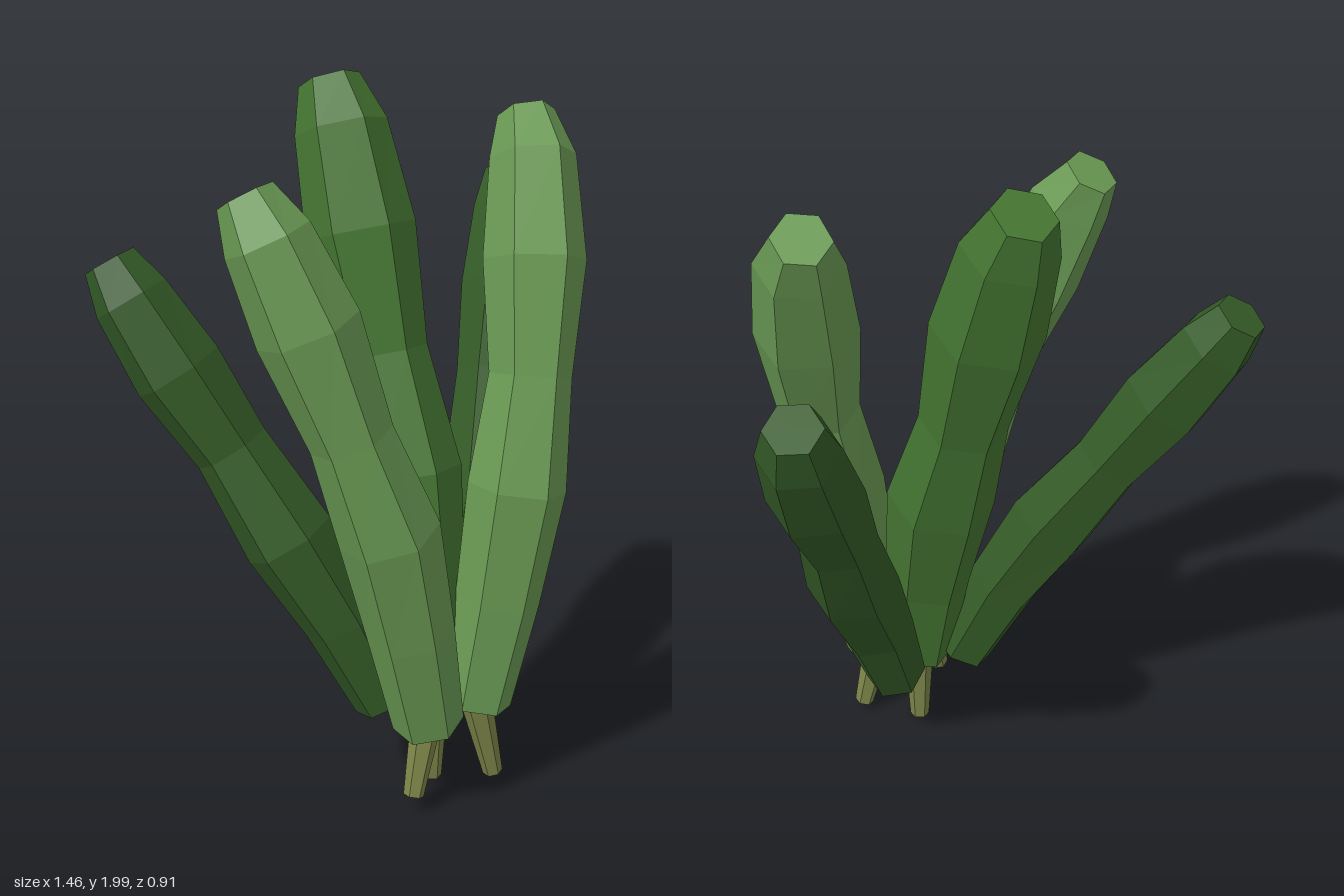
import * as THREE from 'three';

const material = (color) => new THREE.MeshStandardMaterial({ color, flatShading: true });

// Six-sided closed tube through rings of [x, y, z, radius], listed from bottom to top
function hexTube(name, rings, mat) {
  const n = rings.length - 1;
  const centres = rings.map(([x, y, z]) => new THREE.Vector3(x, y, z));
  const up = new THREE.Vector3(0, 1, 0);
  const tilts = centres.map((c, i) => {
    const dir = centres[Math.min(i + 1, n)].clone().sub(centres[Math.max(i - 1, 0)]).normalize();
    return new THREE.Quaternion().setFromUnitVectors(up, dir);
  });

  // Bend a plain cylinder so that each of its rows sits on one ring
  const bent = new THREE.CylinderGeometry(1, 1, 1, 6, n);
  const pos = bent.attributes.position;
  const v = new THREE.Vector3();
  for (let i = 0; i < pos.count; i++) {
    v.fromBufferAttribute(pos, i);
    const row = Math.round((v.y + 0.5) * n);
    v.setY(0).multiplyScalar(rings[row][3]).applyQuaternion(tilts[row]).add(centres[row]);
    pos.setXYZ(i, v.x, v.y, v.z);
  }
  const geometry = bent.toNonIndexed();
  geometry.computeVertexNormals();
  const mesh = new THREE.Mesh(geometry, mat);
  mesh.name = name;
  return mesh;
}

export function createModel() {
  const group = new THREE.Group();
  group.name = 'stalkCluster';
  const light = material(0x6a9a54);
  const mid = material(0x457632);
  const dark = material(0x345b27);
  const olive = material(0x7d8549);

  // Tall stalk in the middle, leaning back
  group.add(hexTube('middleStalk', [
    [0, 0.28, 0.18, 0.10],
    [0, 0.58, 0.13, 0.125],
    [0, 0.92, 0.05, 0.155],
    [0, 1.24, -0.07, 0.125],
    [-0.01, 1.57, -0.17, 0.155],
    [-0.012, 1.84, -0.265, 0.13],
    [-0.012, 1.96, -0.325, 0.087],
  ], mid));

  // Pale front stalks, bulging forward
  group.add(hexTube('frontLeftStalk', [
    [0.095, 0.27, 0.27, 0.10],
    [0.155, 0.58, 0.28, 0.12],
    [0.21, 0.91, 0.285, 0.138],
    [0.28, 1.21, 0.24, 0.115],
    [0.345, 1.51, 0.16, 0.143],
    [0.405, 1.77, 0.06, 0.12],
    [0.43, 1.875, -0.01, 0.08],
  ], light));
  group.add(hexTube('frontRightStalk', [
    [-0.09, 0.27, 0.30, 0.10],
    [-0.155, 0.57, 0.31, 0.12],
    [-0.225, 0.88, 0.312, 0.138],
    [-0.32, 1.16, 0.28, 0.113],
    [-0.405, 1.45, 0.215, 0.14],
    [-0.48, 1.68, 0.15, 0.117],
    [-0.51, 1.785, 0.095, 0.078],
  ], light));

  // Dark back stalks, spreading outward; the right one is a little shorter
  const back = [
    [0.12, 0.27, 0.12, 0.09],
    [0.22, 0.54, 0.055, 0.11],
    [0.335, 0.80, -0.03, 0.13],
    [0.44, 1.07, -0.155, 0.107],
    [0.545, 1.30, -0.25, 0.128],
    [0.63, 1.51, -0.345, 0.108],
    [0.665, 1.615, -0.395, 0.075],
  ];
  group.add(hexTube('backLeftStalk', back, dark));
  const shorter = back.map(([x, y, z, r]) => [-x, 0.27 + (y - 0.27) * 0.935, z, r]);
  group.add(hexTube('backRightStalk', shorter, dark));

  // Small tapering roots, each as [foot, top]
  const roots = [
    [[-0.145, 0.06, 0.31, 0.029], [-0.075, 0.31, 0.28, 0.048]],
    [[0.005, 0.01, 0.178, 0.029], [0, 0.31, 0.188, 0.048]],
    [[0.14, 0.037, 0.295, 0.029], [0.08, 0.31, 0.28, 0.048]],
  ];
  roots.forEach((rings, i) => group.add(hexTube(`root${i + 1}`, rings, olive)));

  return group;
}
